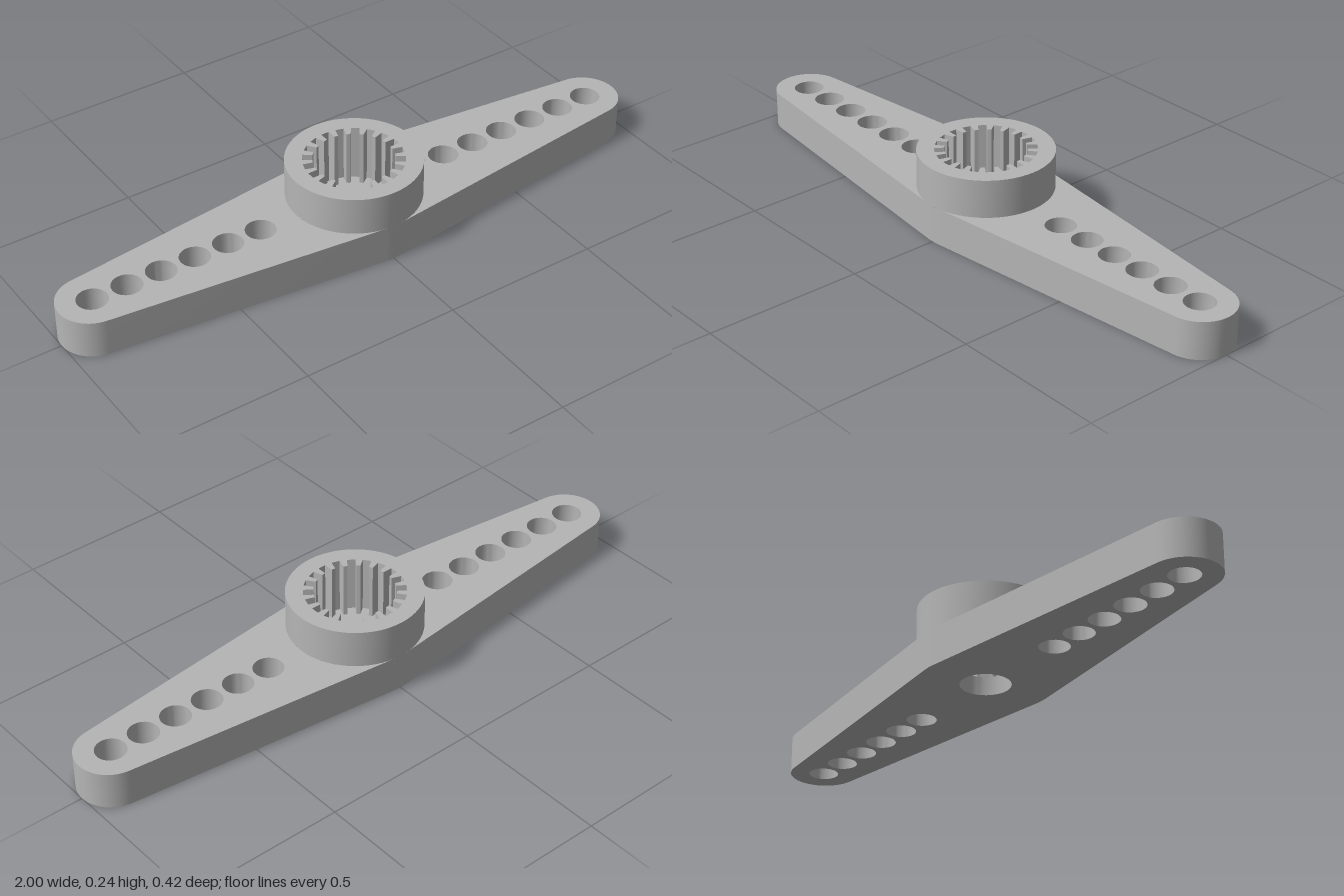
import * as THREE from 'three';
import { toCreasedNormals } from 'three/addons/utils/BufferGeometryUtils.js';

const ARM_H = 0.12, HUB_H = 0.242, FLOOR_H = 0.06;
const HUB_R = 0.208, END_R = 0.107, END_X = 1 - END_R;
const HOLE_R = 0.047, BORE_R = 0.078;
const TEETH = 20, ROOT_R = 0.155, TIP_R = 0.124;

// Points along an arc (plan coordinates: x, -z)
function arc(cx, r, a0, a1, n) {
  return Array.from({ length: n + 1 }, (_, i) => {
    const a = a0 + ((a1 - a0) * i) / n;
    return new THREE.Vector2(cx + r * Math.cos(a), r * Math.sin(a));
  });
}
const circle = (cx, r, n = 48) => arc(cx, r, 0, Math.PI * 2, n).slice(0, n);

// Vertical wall around a closed loop; inner walls face the loop's centre
function wall(loop, y0, y1, inner = false) {
  const pts = inner ? [...loop].reverse() : loop;
  const pos = [];
  pts.forEach((p, i) => {
    const q = pts[(i + 1) % pts.length];
    pos.push(p.x, y0, -p.y, q.x, y0, -q.y, q.x, y1, -q.y);
    pos.push(p.x, y0, -p.y, q.x, y1, -q.y, p.x, y1, -p.y);
  });
  const g = new THREE.BufferGeometry();
  g.setAttribute('position', new THREE.Float32BufferAttribute(pos, 3));
  return toCreasedNormals(g, 0.5);
}

// Horizontal face with holes, facing up or down
function face(loop, holes, y, up = true) {
  const shape = new THREE.Shape(loop);
  shape.holes = holes.map((h) => new THREE.Path(h));
  const g = new THREE.ShapeGeometry(shape);
  g.rotateX(up ? -Math.PI / 2 : Math.PI / 2);
  return g.translate(0, y, 0);
}

// Toothed socket outline
function splineLoop() {
  const pts = [];
  const step = (Math.PI * 2) / TEETH;
  for (let i = 0; i < TEETH; i++) {
    for (const [r, f] of [[TIP_R, -0.34], [ROOT_R, -0.27], [ROOT_R, 0.27], [TIP_R, 0.34]]) {
      const a = (i + f) * step;
      pts.push(new THREE.Vector2(r * Math.cos(a), r * Math.sin(a)));
    }
  }
  return pts;
}

export function createModel() {
  const plastic = new THREE.MeshStandardMaterial({ color: 0xb5b5b5 });
  plastic.name = 'grey plastic';

  const model = new THREE.Group();
  model.name = 'doubleArmHorn';
  const arm = new THREE.Group();
  arm.name = 'arm';
  const hub = new THREE.Group();
  hub.name = 'hub';
  model.add(arm, hub);
  const add = (parent, name, geometry) => {
    const mesh = new THREE.Mesh(geometry, plastic);
    mesh.name = name;
    parent.add(mesh);
  };

  // Tapered outline: hub circle and end circles joined by tangents
  const t = Math.acos((HUB_R - END_R) / END_X);
  const PI = Math.PI;
  const outline = [
    ...arc(END_X, END_R, -t, t, 32),
    ...arc(0, HUB_R, t, PI - t, 8),
    ...arc(-END_X, END_R, PI - t, PI + t, 32),
    ...arc(0, HUB_R, PI + t, 2 * PI - t, 8),
  ];
  const spline = splineLoop();
  const bore = circle(0, BORE_R);

  // Six holes on each side
  const holesFor = (side) =>
    Array.from({ length: 6 }, (_, i) => circle(side * (0.332 + i * 0.1122), HOLE_R, 32));
  const left = holesFor(1), right = holesFor(-1);

  // Arm
  add(arm, 'armSide', wall(outline, 0, ARM_H));
  add(arm, 'armUnderside', face(outline, [...left, ...right, bore], 0, false));
  for (const [side, holes] of [[1, left], [-1, right]]) {
    const a = side > 0 ? 0 : PI;
    const wing = [
      ...arc(side * END_X, END_R, a - t, a + t, 32),
      ...arc(0, HUB_R, a + t, a - t, 40),
    ];
    add(arm, side > 0 ? 'leftArmTop' : 'rightArmTop', face(wing, holes, ARM_H));
    holes.forEach((h) => add(arm, 'holeWall', wall(h, 0, ARM_H, true)));
  }

  // Hub with toothed socket and through bore
  const rim = circle(0, HUB_R, 80);
  add(hub, 'hubSide', wall(rim, ARM_H, HUB_H));
  add(hub, 'hubTop', face(rim, [spline], HUB_H));
  add(hub, 'socketTeeth', wall(spline, FLOOR_H, HUB_H, true));
  add(hub, 'socketFloor', face(spline, [bore], FLOOR_H));
  add(hub, 'boreWall', wall(bore, 0, FLOOR_H, true));

  return model;
}
